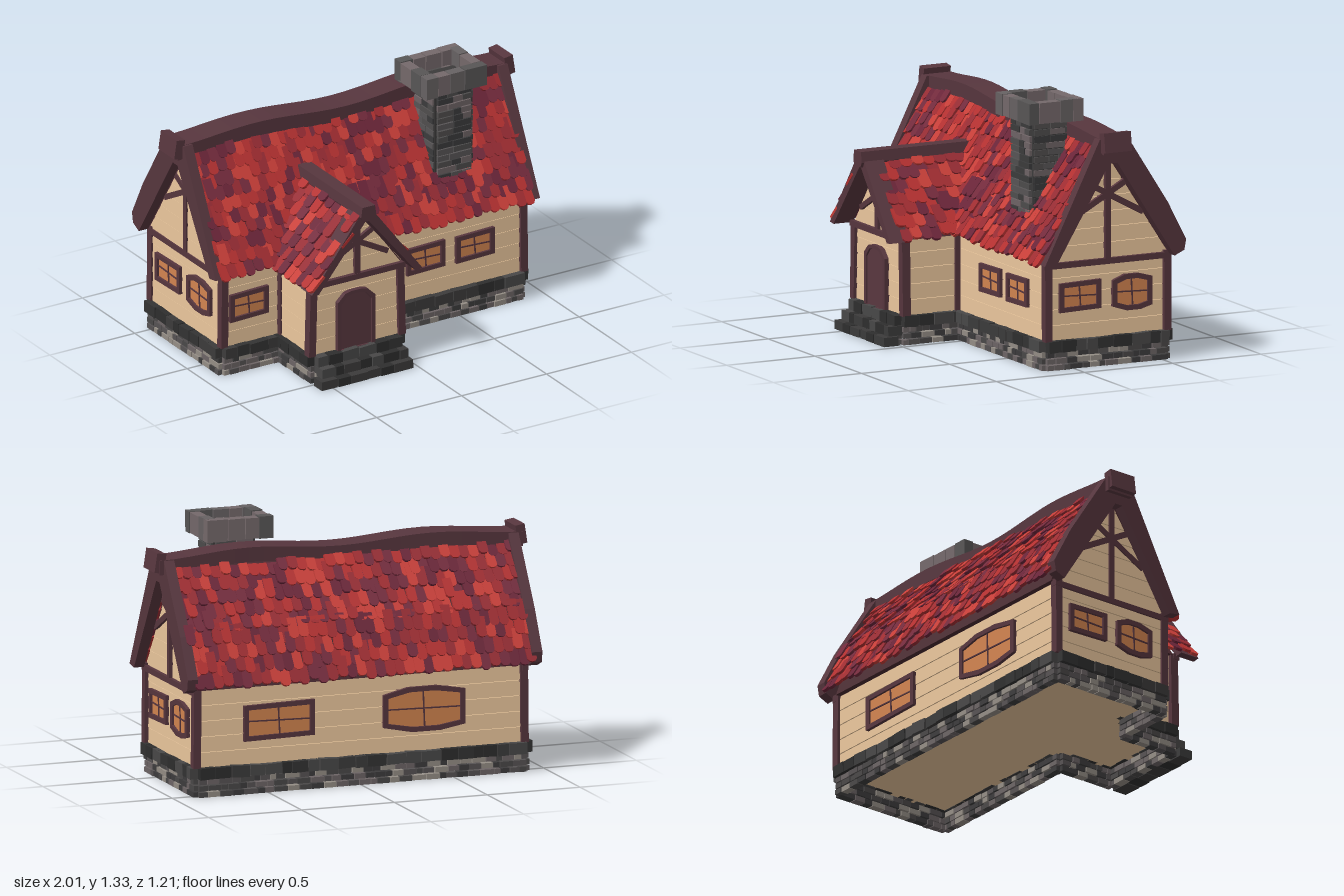
import * as THREE from 'three';
import { mergeGeometries } from 'three/addons/utils/BufferGeometryUtils.js';

const TIMBER = 0x57363e, WALL = 0xeac69c, GROOVE = 0x6e5947, PANE = 0xd48550;
const TILES = [0xb43030, 0xa02c31, 0x962b33, 0x6a2438, 0x742a3c, 0xc83e38];
const STONES = [0x333333, 0x3c3b3b, 0x2e2e2e, 0x494848];
const BRICKS = [0x4a4848, 0x575354, 0x3d3c3d, 0x6d6566, 0x958e86];
const FLUE = [0x4d4c4c, 0x585556, 0x3b3b3c, 0x504e4e, 0x6f6466];

export function createModel() {
  const root = new THREE.Group();
  let seed = 7;
  const rnd = () => (seed = (seed * 16807) % 2147483647) / 2147483647;
  const pick = list => list[Math.floor(rnd() * list.length)];

  // Geometry is collected by part name and colour, then merged
  const parts = new Map();
  const put = (name, color, geo, matrix) => {
    const g = geo.index ? geo.toNonIndexed() : geo.clone();
    if (matrix) g.applyMatrix4(matrix);
    const key = name + color;
    if (!parts.has(key)) parts.set(key, { name, color, geos: [] });
    parts.get(key).geos.push(g);
  };
  const place = (x, y, z, ry = 0, rx = 0, rz = 0) => new THREE.Matrix4()
    .makeRotationFromEuler(new THREE.Euler(rx, ry, rz, 'YXZ')).setPosition(x, y, z);
  const box = (name, color, x0, x1, y0, y1, z0, z1) => put(name, color,
    new THREE.BoxGeometry(x1 - x0, y1 - y0, z1 - z0), place((x0 + x1) / 2, (y0 + y1) / 2, (z0 + z1) / 2));
  const shape = pts => new THREE.Shape(pts.map(p => new THREE.Vector2(...p)));
  const extrude = (s, depth) => new THREE.ExtrudeGeometry(s, { depth, bevelEnabled: false });
  // Straight timber between two points of a local xy plane
  const strut = (name, frame, a, b, w, d) => {
    const dx = b[0] - a[0], dy = b[1] - a[1];
    put(name, TIMBER, new THREE.BoxGeometry(Math.hypot(dx, dy), w, d),
      frame.clone().multiply(place((a[0] + b[0]) / 2, (a[1] + b[1]) / 2, 0, 0, 0, Math.atan2(dy, dx))));
  };

  // Rows of irregular blocks along a line in plan
  const course = (name, colors, a, b, y, h, len, depth, tilt = 0.03) => {
    const dx = b[0] - a[0], dz = b[1] - a[1], L = Math.hypot(dx, dz);
    for (let t = 0; t < L - 0.001;) {
      let w = len * (0.6 + 0.8 * rnd());
      if (L - t - w < len * 0.5) w = L - t;
      const k = (t + w / 2) / L;
      put(name, pick(colors), new THREE.BoxGeometry(w - 0.004, h * (0.84 + 0.12 * rnd()), depth * (0.88 + 0.24 * rnd())),
        place(a[0] + dx * k, y + h / 2, a[1] + dz * k, Math.atan2(-dz, dx), 0, (rnd() - 0.5) * tilt));
      t += w;
    }
  };
  const ring = (pts, ...args) => pts.forEach((p, i) => course(args[0], args[1], p, pts[(i + 1) % pts.length], ...args.slice(2)));

  // Foundation
  const plan = [[-0.89, 0.155], [-0.55, 0.155], [-0.55, 0.485], [-0.05, 0.485], [-0.05, 0.155], [0.875, 0.155], [0.875, -0.53], [-0.89, -0.53]];
  for (let i = 0; i < 3; i++) ring(plan, 'foundationBricks', BRICKS, i * 0.033, 0.029, 0.055, 0.04, 0);
  ring(plan, 'foundationStones', STONES, 0.093, 0.062, 0.085, 0.075, 0.1);
  box('floor', WALL, -0.88, 0.865, 0.097, 0.14, -0.52, 0.15);
  box('floor', WALL, -0.54, -0.06, 0.097, 0.14, 0.15, 0.475);
  // Entrance steps
  course('entranceStep', STONES, [-0.57, 0.55], [-0.03, 0.55], 0, 0.05, 0.08, 0.08);
  course('entranceStep', STONES, [-0.55, 0.52], [-0.04, 0.52], 0.05, 0.052, 0.08, 0.08);

  // Wall cores and plank siding
  box('wallCore', GROOVE, -0.87, 0.86, 0.12, 0.56, -0.515, 0.14);
  box('wallCore', GROOVE, -0.54, -0.06, 0.12, 0.56, 0.1, 0.46);
  const siding = (frame, half, y0, y1) => {
    for (let y = y0; y < y1 - 0.01; y += 0.08) {
      const t = Math.min(y + 0.077, y1), a = half(y), b = half(t);
      put('siding', WALL, extrude(shape([[-a, 0], [a, 0], [b, t - y], [-b, t - y]]), 0.014),
        frame.clone().multiply(place(0, y, 0.003, 0, -0.03)));
    }
  };
  const flat = w => () => w / 2;
  siding(place(-0.005, 0, 0.14), flat(1.73), 0.15, 0.55);
  siding(place(-0.005, 0, -0.515, Math.PI), flat(1.73), 0.15, 0.55);
  siding(place(-0.3, 0, 0.46), flat(0.49), 0.15, 0.55);
  siding(place(-0.3, 0, 0.46), y => 0.26 * (0.91 - y) / 0.36, 0.55, 0.9);
  for (const s of [1, -1]) {
    siding(place(-0.3 + s * 0.24, 0, 0.31, s * Math.PI / 2), flat(0.31), 0.15, 0.55);
    const end = place(s > 0 ? 0.865 : -0.875, 0, -0.187, s * Math.PI / 2);
    siding(end, flat(0.67), 0.15, 0.55);
    siding(end, y => 0.345 * (1.08 - y) / 0.53, 0.55, 1.07);
    // End gable timber frame
    const frame = place(s * 0.885, 0, -0.187, s * Math.PI / 2);
    strut('gableFrame', frame, [-0.36, 0.535], [0.36, 0.535], 0.03, 0.03);
    strut('gableFrame', frame, [0, 0.53], [0, 1.08], 0.03, 0.03);
    strut('gableFrame', frame, [-0.2, 0.77], [0.12, 0.945], 0.03, 0.025);
    strut('gableFrame', frame, [0.2, 0.77], [-0.12, 0.945], 0.03, 0.025);
    // Corner posts
    for (const z of [0.15, -0.525]) strut('cornerPost', place(s * 0.883, 0, z), [0, 0.15], [s * -0.004, 0.56], 0.04, 0.04);
    strut('porchPost', place(-0.3, 0, 0.47), [s * 0.265, 0.15], [s * 0.255, 0.54], 0.04, 0.045);
    strut('porchPost', place(-0.3, 0, 0.17), [s * 0.25, 0.15], [s * 0.25, 0.54], 0.03, 0.03);
    // Porch gable braces
    strut('porchFrame', place(-0.3, 0, 0.48), [s * -0.18, 0.63], [s * 0.11, 0.785], 0.027, 0.025);
  }
  strut('porchFrame', place(-0.3, 0, 0.48), [-0.28, 0.535], [0.28, 0.535], 0.03, 0.035);
  strut('porchFrame', place(-0.3, 0, 0.48), [0, 0.53], [0, 0.9], 0.03, 0.03);

  // Solid roof decks and bargeboards, drawn as (-z, y) for the main roof
  const across = x => place(x, 0, 0, Math.PI / 2);
  put('roofDeck', 0x4a2a30, extrude(shape([[-0.17, 0.54], [0.555, 0.55], [0.46, 0.82], [0.25, 1.11], [0.12, 1.11], [-0.02, 0.83]]), 1.735), across(-0.872));
  put('porchRoofDeck', 0x4a2a30, extrude(shape([[-0.28, 0.54], [0.28, 0.54], [0, 0.9]]), 0.475), place(-0.3, 0, -0.015));
  const barge = shape([[-0.2, 0.55], [-0.14, 0.54], [0.165, 1.045], [0.21, 1.045], [0.535, 0.54], [0.59, 0.565], [0.6, 0.62],
    [0.495, 0.82], [0.27, 1.17], [0.11, 1.17], [-0.05, 0.85]]);
  put('bargeboard', TIMBER, extrude(barge, 0.055), across(0.9));
  put('bargeboard', TIMBER, extrude(barge, 0.055), across(-0.955));
  put('porchBargeboard', TIMBER, extrude(shape([[-0.325, 0.54], [-0.285, 0.535], [0, 0.885], [0.285, 0.535], [0.325, 0.54],
    [0.17, 0.745], [0.03, 0.93], [-0.03, 0.93], [-0.17, 0.745]]), 0.11), place(-0.3, 0, 0.475));

  // Overlapping roof tiles; profile lists (outward, height) from ridge to eave
  const tiles = (name, frame, profile, range, width) => {
    const path = new THREE.CurvePath();
    for (let i = 1; i < profile.length; i++)
      path.add(new THREE.LineCurve(new THREE.Vector2(...profile[i - 1]), new THREE.Vector2(...profile[i])));
    const rows = Math.round(path.getLength() / 0.07);
    for (let r = rows; r >= 1; r--) {
      const p = path.getPointAt(r / rows), t = path.getTangentAt((r - 0.4) / rows);
      const [x0, x1] = range(p.y), n = Math.max(1, Math.round((x1 - x0) / width)), w = (x1 - x0) / n;
      const top = r > 1 ? 0.11 : 0.07;
      for (let i = 0; i < n; i++) {
        const h = w * (0.46 + 0.05 * rnd()), c = 0.016;
        const s = shape([[-h, c], [-h * 0.6, 0.003], [0, 0], [h * 0.6, 0.003], [h, c], [h, top], [-h, top]]);
        const x = Math.min(x1 - h, Math.max(x0 + h, x0 + (i + 0.5 + (r % 2 ? 0.22 : -0.22)) * w));
        put(name, pick(TILES), extrude(s, 0.015), frame.clone().multiply(
          place(x, p.y + (rnd() - 0.5) * 0.024, p.x, 0, -Math.atan2(t.x, -t.y) - 0.12, (rnd() - 0.5) * 0.1)));
      }
    }
  };
  const mainRange = () => [-0.925, 0.925];
  tiles('roofTiles', place(0, 0, -0.19), [[0.07, 1.12], [0.23, 0.84], [0.41, 0.545]], mainRange, 0.052);
  tiles('roofTiles', place(0, 0, -0.19, Math.PI), [[0.07, 1.125], [0.29, 0.82], [0.41, 0.56]], mainRange, 0.052);
  const valley = y => 0.19 - (y - 0.55) * 0.54;
  const porchProfile = [[0.025, 0.915], [0.17, 0.735], [0.325, 0.545]];
  tiles('porchRoofTiles', place(-0.3, 0, 0, Math.PI / 2), porchProfile, y => [-0.525, -valley(y)], 0.06);
  tiles('porchRoofTiles', place(-0.3, 0, 0, -Math.PI / 2), porchProfile, y => [valley(y), 0.585], 0.06);

  // Sagging ridge beam with raised ends
  const ridge = new THREE.BoxGeometry(1.96, 0.075, 0.15, 24, 1, 1), v = ridge.attributes.position;
  for (let i = 0; i < v.count; i++) {
    const x = v.getX(i);
    v.setY(i, v.getY(i) + 1.147 - 0.015 * Math.cos(x * 2 * Math.PI));
    v.setZ(i, v.getZ(i) - 0.187 + 0.01 * Math.cos(x * Math.PI));
  }
  put('ridgeBeam', TIMBER, ridge);
  for (const s of [1, -1]) put('ridgeBeamEnd', TIMBER, new THREE.BoxGeometry(0.05, 0.1, 0.152), place(s * 0.972, 1.155, -0.192, 0, 0, s * 0.15));
  const cap = shape([[-0.045, 0.905], [-0.03, 0.88], [0.03, 0.88], [0.045, 0.905], [0.037, 0.96], [-0.037, 0.96]]);
  put('porchRidgeBeam', TIMBER, extrude(cap, 0.62), place(-0.3, 0, -0.02));

  // Chimney: brick shaft and an open crown of large stones
  box('chimneyCore', 0x3c3b3b, 0.4, 0.62, 0.6, 1.25, -0.09, 0.09);
  const shaft = [[0.41, 0.09], [0.61, 0.09], [0.61, -0.09], [0.41, -0.09]];
  for (let y = 0.665; y < 1.22; y += 0.0345) ring(shaft, 'chimneyBricks', FLUE, y, 0.033, 0.08, 0.035);
  const crown = [[[0.32, 0.115], [0.68, 0.115]], [[0.65, 0.085], [0.65, -0.13]], [[0.68, -0.135], [0.32, -0.135]], [[0.35, -0.13], [0.35, 0.085]]];
  for (const [a, b] of crown) course('chimneyCrown', [0x585656, 0x676263, 0x75696b], a, b, 1.212, 0.122, 0.1, 0.055);

  // Windows: frame with a hole, pane and glazing bars; bow bulges top and bottom
  const outline = (w, h, bow) => bow
    ? [[-w / 2, -h * 0.36], [-w * 0.15, -h / 2], [w * 0.2, -h / 2], [w / 2, -h * 0.4], [w / 2, h * 0.38], [w * 0.15, h / 2], [-w * 0.2, h / 2], [-w / 2, h * 0.36]]
    : [[-w / 2, -h / 2], [w / 2, -h * 0.46], [w / 2, h / 2], [-w / 2, h * 0.46]];
  const windowAt = (frame, x, y, w, h, bow) => {
    const f = frame.clone().multiply(place(x, y, 0)), s = shape(outline(w, h, bow));
    s.holes.push(shape(outline(w - 0.05, h - 0.05, bow)));
    put('windowFrame', TIMBER, extrude(s, 0.034), f);
    put('windowPane', PANE, extrude(shape(outline(w - 0.04, h - 0.04, bow)), 0.022), f);
    const bars = f.clone().multiply(place(0, 0, 0.022));
    strut('windowBar', bars, [0.004, -h / 2 + 0.02], [-0.004, h / 2 - 0.02], 0.007, 0.01);
    strut('windowBar', bars, [-w / 2 + 0.02, 0.006], [w / 2 - 0.02, -0.002], 0.007, 0.01);
  };
  const front = place(0, 0, 0.14), back = place(0, 0, -0.515, Math.PI);
  windowAt(front, -0.738, 0.36, 0.225, 0.155, false);
  windowAt(front, 0.302, 0.365, 0.225, 0.15, false);
  windowAt(front, 0.592, 0.365, 0.225, 0.15, false);
  windowAt(back, -0.44, 0.365, 0.38, 0.19, false);
  windowAt(back, 0.34, 0.365, 0.44, 0.23, true);
  for (const s of [1, -1]) {
    const side = place(s > 0 ? 0.865 : -0.875, 0, -0.187, s * Math.PI / 2);
    windowAt(side, -0.155, 0.37, 0.235, 0.155, false);
    windowAt(side, 0.14, 0.365, 0.225, 0.185, true);
  }

  // Door with chamfered arch
  const arch = (w, h) => [[-w, 0], [w, 0], [w, h - 0.05], [w * 0.6, h - 0.008], [w * 0.3, h], [-w * 0.3, h], [-w * 0.6, h - 0.008], [-w, h - 0.05]];
  const surround = shape(arch(0.11, 0.315));
  surround.holes.push(shape(arch(0.09, 0.295).map(([x, y]) => [x, y + 0.002])));
  put('doorFrame', TIMBER, extrude(surround, 0.04), place(-0.31, 0.15, 0.46));
  put('door', 0x5a3840, extrude(shape(arch(0.1, 0.305)), 0.03), place(-0.31, 0.15, 0.46));

  for (const { name, color, geos } of parts.values()) {
    const mesh = new THREE.Mesh(mergeGeometries(geos), new THREE.MeshStandardMaterial({ color, flatShading: true }));
    mesh.name = name;
    root.add(mesh);
  }
  root.name = 'cottage';
  return root;
}
